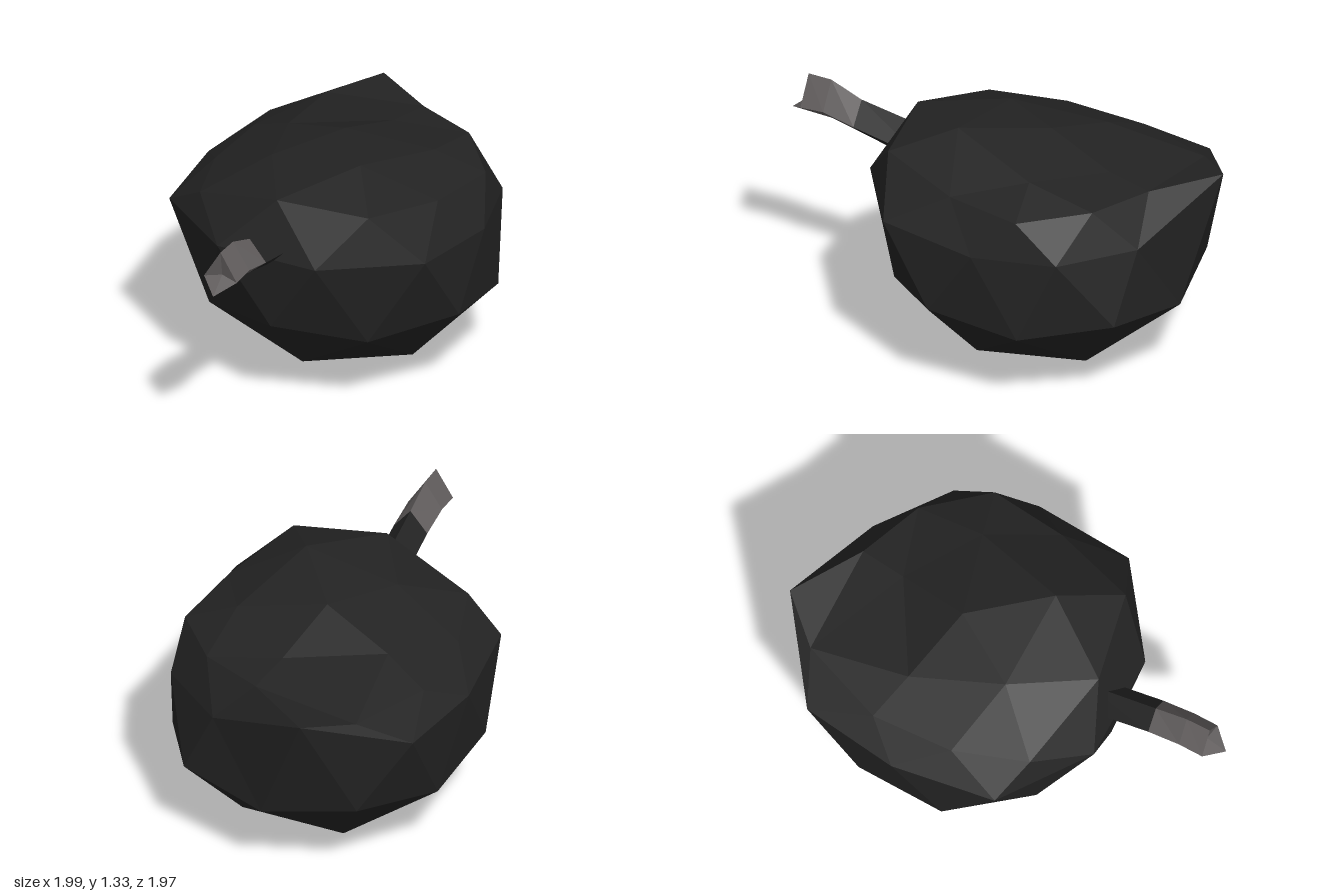
import * as THREE from 'three';

// Flat-shaded mesh from a list of [a, b, c] corner triples
function facetMesh(name, tris, material) {
  const geometry = new THREE.BufferGeometry();
  geometry.setAttribute('position', new THREE.Float32BufferAttribute(tris.flat(2), 3));
  geometry.computeVertexNormals();
  const mesh = new THREE.Mesh(geometry, material);
  mesh.name = name;
  return mesh;
}

// Horizontal ring of points around the body axis
const CX = 0.14, CY = 0.96, CZ = -0.04;
function ring(count, startDeg, radius, y) {
  return Array.from({ length: count }, (_, k) => {
    const a = THREE.MathUtils.degToRad(startDeg + (k * 360) / count);
    const r = radius(k), h = y(k);
    return [CX + r * Math.cos(a), h, CZ + r * Math.sin(a)];
  });
}

function bodyTriangles() {
  // Rounded lower half
  const bottom = [CX, 0.01, CZ];
  const a = ring(5, -5, () => 0.5, () => 0.15);
  const b = ring(10, -5, k => (k % 2 ? 0.81 : 0.855), k => (k % 2 ? 0.46 : 0.53));
  const c = ring(10, 13, () => 0.95, () => CY);
  c[0] = [0.93, 0.92, 0.19];
  c[1] = [0.68, 0.92, 0.58];
  c[6] = [-0.4, 0.95, -0.69];
  c[8] = [0.65, 1.14, -0.85];
  c[9] = [0.9, 0.92, -0.28];

  // Flattened, sloping upper half
  const d = [
    [0.77, 1.13, 0.36], [0.41, 1.15, 0.6], [-0.05, 1.22, 0.78], [-0.45, 1.25, 0.47],
    [-0.7, 1.1, -0.02], [-0.48, 1.08, -0.38], [-0.14, 1.06, -0.69], [0.33, 1.08, -0.86],
    [0.71, 1.15, -0.41], [0.83, 1.15, -0.05],
  ];
  const e = [
    [0.54, 1.23, 0.2], [0.04, 1.34, 0.42], [-0.3, 1.26, 0],
    [-0.04, 1.17, -0.45], [0.49, 1.18, -0.27],
  ];
  const top = [0.14, 1.3, -0.07];

  const tris = [];
  for (let k = 0; k < 5; k++) {
    const n = (k + 1) % 5, i = 2 * k, j = i + 1, p = (i + 9) % 10;
    tris.push([bottom, a[k], a[n]], [a[n], a[k], b[j]], [a[k], b[i], b[j]], [a[k], b[p], b[i]]);
    tris.push([top, e[n], e[k]], [e[k], e[n], d[j]], [e[k], d[j], d[i]], [e[k], d[i], d[p]]);
  }
  for (let k = 0; k < 10; k++) {
    const n = (k + 1) % 10;
    tris.push([b[n], b[k], c[k]], [c[k], c[n], b[n]]);
    tris.push([c[n], c[k], d[k]], [d[k], d[n], c[n]]);
  }
  return tris;
}

// Kite cross-section of the spout: ridge, front side, keel, back side
function kite(x, z, ridge, side, keel, keelOut = 0) {
  return [
    [x, ridge, z],
    [x + 0.066, side, z + 0.07],
    [x - keelOut, keel, z + keelOut],
    [x - 0.066, side, z - 0.07],
  ];
}

// Skin between two kite sections
function skin(s, t) {
  const tris = [];
  for (let k = 0; k < 4; k++) {
    const n = (k + 1) % 4;
    tris.push([s[k], t[k], s[n]], [s[n], t[k], t[n]]);
  }
  return tris;
}

export function createModel() {
  const charcoal = new THREE.MeshStandardMaterial({ color: 0x232323 });
  charcoal.name = 'charcoal';
  const grey = new THREE.MeshStandardMaterial({ color: 0x615d5d });
  grey.name = 'grey';

  const group = new THREE.Group();
  group.name = 'facetedLump';
  group.add(facetMesh('body', bodyTriangles(), charcoal));

  // Spout sections from inside the body out to the tip
  const s = [
    kite(-0.4, 0.42, 1.1, 0.97, 0.87),
    kite(-0.69, 0.7, 1.18, 1.06, 0.98),
    kite(-0.83, 0.82, 1.25, 1.1, 1.02),
    kite(-0.934, 0.91, 1.25, 1.09, 1.03, 0.066),
  ];
  group.add(facetMesh('spoutBase', skin(s[0], s[1]), charcoal));

  // Grey tip closed by a hollowed end
  const hollow = [-0.92, 1.11, 0.9];
  const end = s[3].map((p, k) => [p, hollow, s[3][(k + 1) % 4]]);
  group.add(facetMesh('spoutTip', [...skin(s[1], s[2]), ...skin(s[2], s[3]), ...end], grey));
  return group;
}
